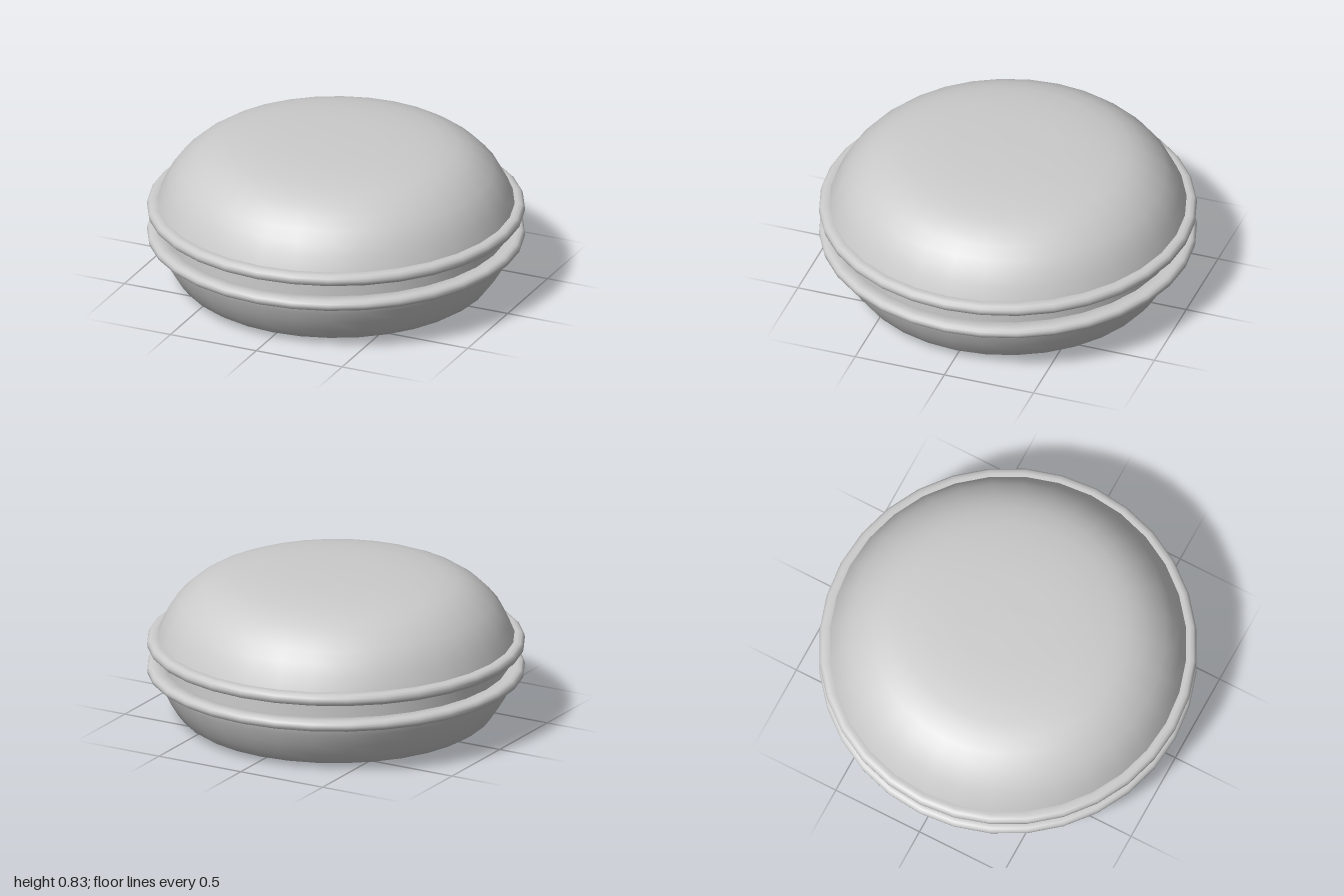
import * as THREE from 'three';

const SEGMENTS = 32;

export function createModel() {
  const group = new THREE.Group();
  group.name = 'macaron';
  const material = new THREE.MeshStandardMaterial({ color: 0xcccccc });

  // Revolves [radius, height] points, listed from bottom to top on the outside
  const addLathe = (name, profile) => {
    const points = profile.map(([r, y]) => new THREE.Vector2(r, y));
    const mesh = new THREE.Mesh(new THREE.LatheGeometry(points, SEGMENTS), material);
    mesh.name = name;
    group.add(mesh);
  };

  // Bulging ruffled-edge ring of each shell, a closed rounded section
  const addFoot = (name, y0, y1) => {
    const h = y1 - y0;
    addLathe(name, [
      [0.88, y0], [0.965, y0], [0.985, y0 + h * 0.07], [0.997, y0 + h * 0.25],
      [1, y0 + h * 0.5], [0.997, y0 + h * 0.75], [0.985, y0 + h * 0.93],
      [0.965, y1], [0.88, y1], [0.88, y0],
    ]);
  };

  // Lower shell: flat base with a rounded shoulder
  addLathe('bottomShell', [
    [0, 0], [0.62, 0.01], [0.74, 0.014], [0.79, 0.022], [0.825, 0.045],
    [0.86, 0.09], [0.9, 0.155], [0.93, 0.22], [0.945, 0.262], [0.945, 0.28],
  ]);
  addFoot('bottomFoot', 0.26, 0.32);

  // Cream layer between the shells
  addLathe('filling', [[0.918, 0.3], [0.918, 0.42]]);

  // Upper shell: tall dome flattening towards the crown
  addFoot('topFoot', 0.403, 0.468);
  addLathe('topShell', [
    [0.95, 0.45], [0.943, 0.475], [0.915, 0.54], [0.88, 0.605], [0.835, 0.66],
    [0.78, 0.71], [0.72, 0.75], [0.65, 0.78], [0.56, 0.802], [0.42, 0.82],
    [0.24, 0.83], [0, 0.832],
  ]);

  return group;
}
